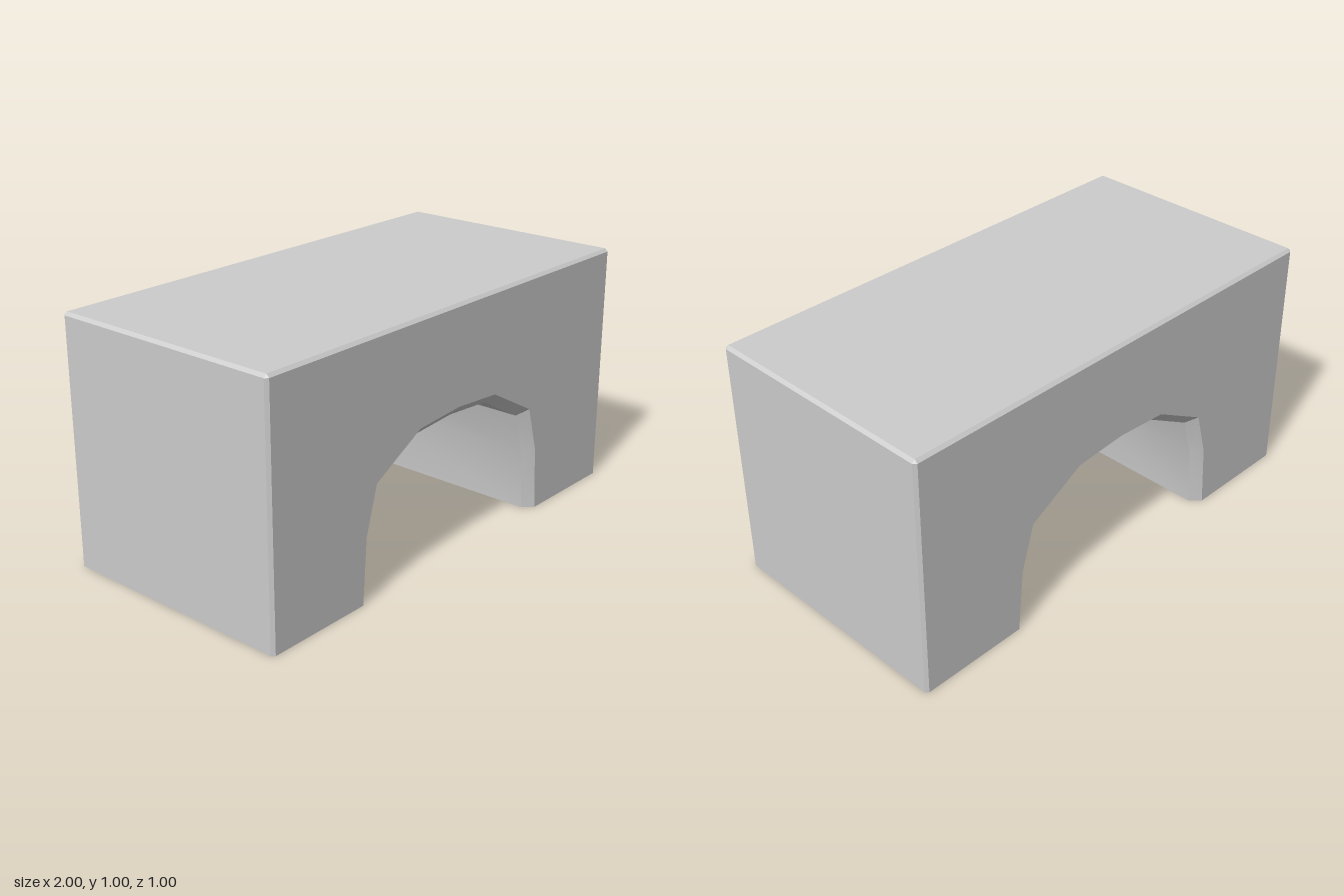
import * as THREE from 'three';
import { toCreasedNormals } from 'three/addons/utils/BufferGeometryUtils.js';

const EDGE = 0.012; // chamfer of the outer edges

// right half of the arch, foot to crown: [inner x, inner y, face x, face y]
const ARCH = [
  [0.5, 0, 0.54, 0],
  [0.482, 0.26, 0.522, 0.265],
  [0.433, 0.425, 0.468, 0.452],
  [0.217, 0.545, 0.227, 0.584],
  [0, 0.56, 0, 0.6],
];

// counter-clockwise outline; inset pulls in the outer edges, flare widens the arch
function outline(z, inset, flare) {
  const half = ARCH.map(([x, y, fx, fy]) => [x + (fx - x) * flare, y + (fy - y) * flare]);
  const left = half.map(([x, y]) => [-x, y]);
  const w = 1 - inset;
  const s = 1 - EDGE;
  const points = [
    [w, 0], [w, s], [s, w], [-s, w], [-w, s], [-w, 0],
    ...left, ...half.slice(0, -1).reverse(),
  ];
  return points.map(([x, y]) => new THREE.Vector3(x, y, z));
}

// skins the outlines from back to front and closes both ends
function loft(sections) {
  const positions = [];
  const tri = (a, b, c) => {
    const area = b.clone().sub(a).cross(c.clone().sub(a)).length();
    if (area > 1e-9) for (const p of [a, b, c]) positions.push(p.x, p.y, p.z);
  };
  const n = sections[0].length;
  for (let k = 0; k < sections.length - 1; k++) {
    const back = sections[k];
    const front = sections[k + 1];
    for (let i = 0; i < n; i++) {
      const j = (i + 1) % n;
      tri(back[i], back[j], front[j]);
      tri(back[i], front[j], front[i]);
    }
  }
  const first = sections[0];
  const last = sections[sections.length - 1];
  const flat = last.map((p) => new THREE.Vector2(p.x, p.y));
  for (const [a, b, c] of THREE.ShapeUtils.triangulateShape(flat, [])) {
    tri(last[a], last[b], last[c]);
    tri(first[c], first[b], first[a]);
  }
  const geometry = new THREE.BufferGeometry();
  geometry.setAttribute('position', new THREE.Float32BufferAttribute(positions, 3));
  return toCreasedNormals(geometry, THREE.MathUtils.degToRad(30));
}

export function createModel() {
  const group = new THREE.Group();
  group.name = 'archedBlock';

  // block with chamfered edges and an arched passage, flared at both mouths
  const rings = [[0.5, EDGE, 1], [0.5 - EDGE, 0, 0.7], [0.46, 0, 0]];
  const sections = [
    ...rings.map(([z, inset, flare]) => outline(-z, inset, flare)),
    ...rings.reverse().map(([z, inset, flare]) => outline(z, inset, flare)),
  ];
  const block = new THREE.Mesh(loft(sections), new THREE.MeshStandardMaterial({ color: 0xcccccc }));
  block.name = 'archBlock';
  group.add(block);
  return group;
}
